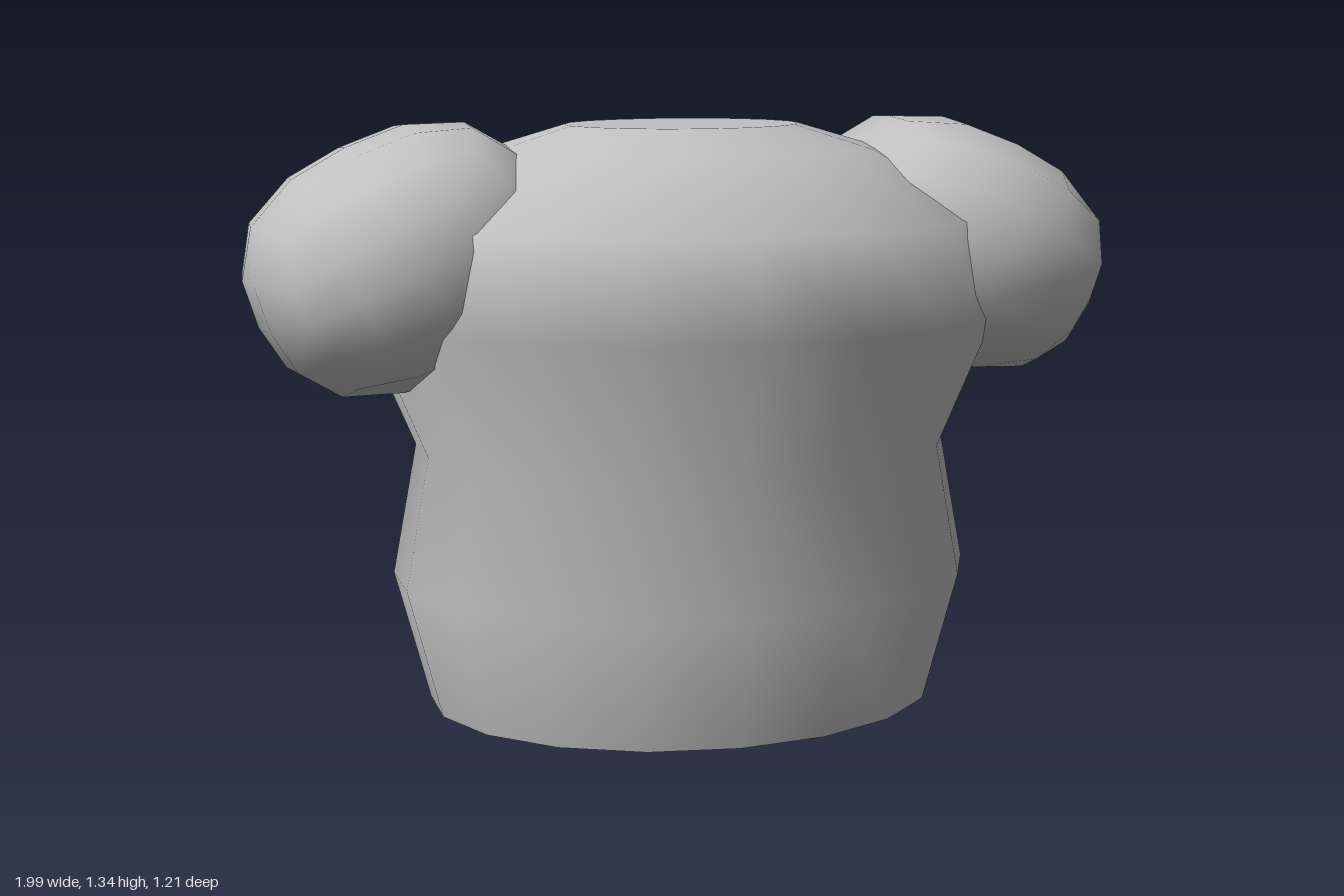
import * as THREE from 'three';
import { mergeVertices } from 'three/addons/utils/BufferGeometryUtils.js';

const SIDES = 18;
const DEPTH = 0.81; // torso depth relative to its width

// Rounded block: a box grid pulled onto a superellipsoid
function roundedBlock(rx, ry, rz, power) {
  let geo = new THREE.BoxGeometry(2, 2, 2, 4, 4, 4);
  geo.deleteAttribute('uv');
  geo.deleteAttribute('normal');
  geo = mergeVertices(geo);
  const pos = geo.attributes.position;
  for (let i = 0; i < pos.count; i++) {
    const p = [pos.getX(i), pos.getY(i), pos.getZ(i)].map((c) => Math.tan(c * Math.PI / 4));
    const len = p.reduce((s, c) => s + Math.abs(c) ** power, 0) ** (1 / power);
    pos.setXYZ(i, p[0] / len * rx, p[1] / len * ry, p[2] / len * rz);
  }
  geo.computeVertexNormals();
  return geo;
}

export function createModel() {
  const group = new THREE.Group();
  const grey = new THREE.MeshStandardMaterial({ color: 0xc0c0c0 });
  grey.name = 'grey';

  const add = (name, geo) => {
    const mesh = new THREE.Mesh(geo, grey);
    mesh.name = name;
    group.add(mesh);
    return mesh;
  };

  // Torso: oval rings, pinched at the waist and rounded over at the top
  const profile = [
    [0.593, 0], [0.673, 0.3], [0.617, 0.6], [0.745, 0.9],
    [0.72, 1.12], [0.457, 1.27], [0.27, 1.325],
  ].map(([r, y]) => new THREE.Vector2(r, y));
  add('torso', new THREE.LatheGeometry(profile, SIDES)).scale.z = DEPTH;

  // Flat caps at the neck and the hem
  const cap = (name, r, y, tilt) => {
    const geo = new THREE.CircleGeometry(r, SIDES, Math.PI / 2);
    geo.rotateX(tilt);
    geo.scale(1, 1, DEPTH);
    geo.translate(0, y, 0);
    add(name, geo);
  };
  cap('neckCap', 0.27, 1.325, -Math.PI / 2);
  cap('hemCap', 0.593, 0, Math.PI / 2);

  // Shoulders: rounded blocks sloping down and outward
  for (const side of [1, -1]) {
    const shoulder = add(side > 0 ? 'leftShoulder' : 'rightShoulder', roundedBlock(0.345, 0.269, 0.38, 2.5));
    shoulder.position.set(side * 0.65, 1.04, 0);
    shoulder.rotation.z = -side * THREE.MathUtils.degToRad(25);
  }

  return group;
}
